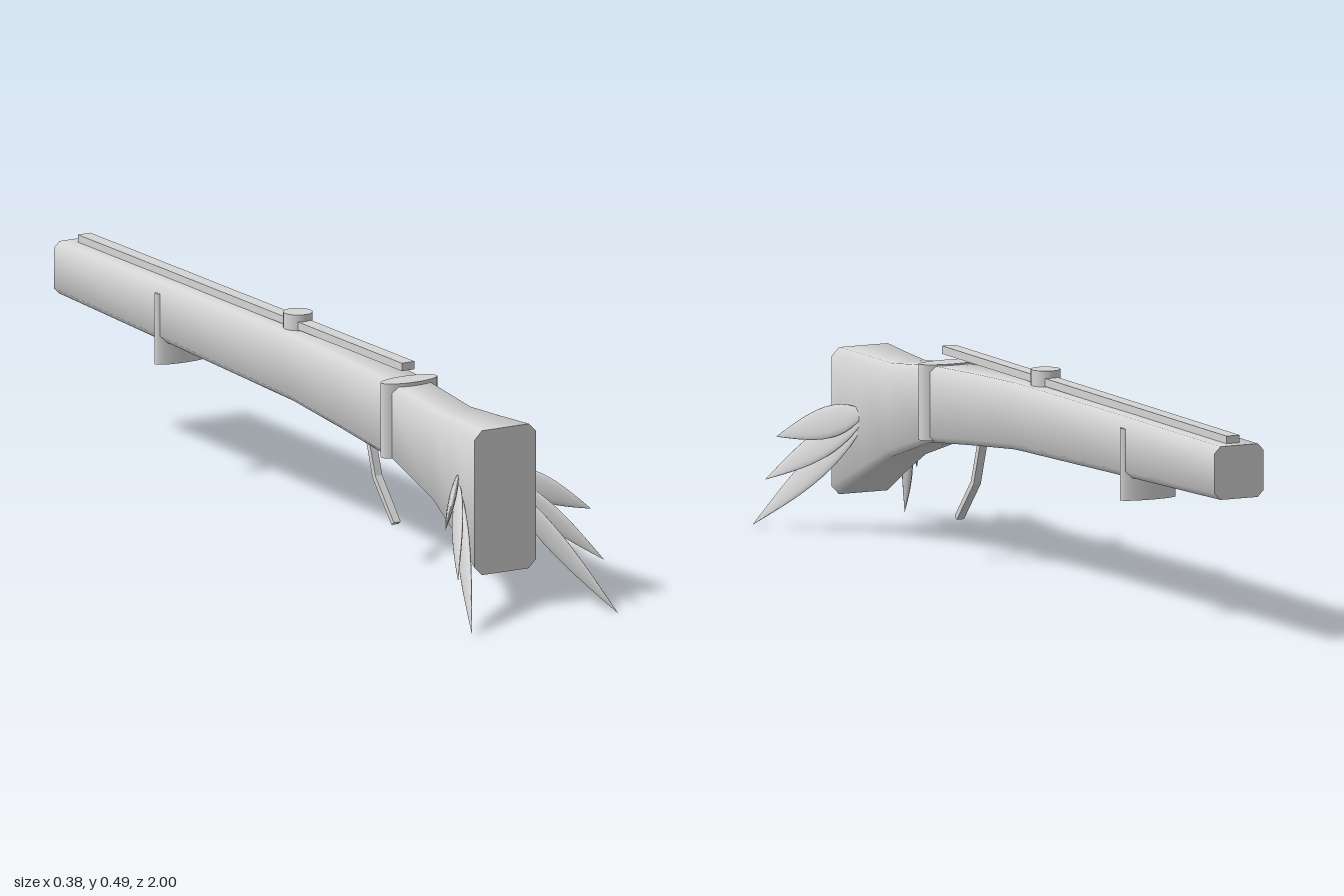
import * as THREE from 'three';

// Eight-sided chamfered outline at one station, counter-clockwise seen from +z
function ring([z, low, high, half]) {
  const c = half * 0.24;
  return [
    [half, low + c], [half, high - c], [half - c, high], [-half + c, high],
    [-half, high - c], [-half, low + c], [-half + c, low], [half - c, low],
  ].map(([x, y]) => new THREE.Vector3(x, y, z));
}

// Skin through the stations (front to back) with evenly rounded sides and flat ends
function loft(stations) {
  const rings = stations.map(ring), n = 8, idx = [];
  const points = rings.flat(), normals = points.map(() => new THREE.Vector3());
  for (let s = 0; s < rings.length - 1; s++)
    for (let i = 0; i < n; i++) {
      const j = (i + 1) % n, a = s * n + i, b = s * n + j;
      idx.push(a, a + n, b, b, a + n, b + n);
      // every side face counts equally, whatever its size
      const face = points[a + n].clone().sub(points[b])
        .cross(points[b + n].clone().sub(points[a])).normalize();
      [a, b, a + n, b + n].forEach(k => normals[k].add(face));
    }
  normals.forEach(v => v.normalize());

  // Flat end caps with their own corners
  const f = points.length;
  [[rings[0], 1], [rings[rings.length - 1], -1]].forEach(([r, facing]) => r.forEach(p => {
    points.push(p);
    normals.push(new THREE.Vector3(0, 0, facing));
  }));
  for (let i = 1; i < n - 1; i++) {
    idx.push(f, f + i, f + i + 1);
    idx.push(f + n, f + n + i + 1, f + n + i);
  }
  const g = new THREE.BufferGeometry().setFromPoints(points);
  g.setAttribute('normal', new THREE.Float32BufferAttribute(normals.flatMap(v => v.toArray()), 3));
  g.setIndex(idx);
  return g;
}

export function createModel() {
  const group = new THREE.Group();
  const grey = new THREE.MeshStandardMaterial({ color: 0xd5d5d5 });
  grey.name = 'light grey';

  const add = (name, geometry, x = 0, y = 0, z = 0) => {
    const m = new THREE.Mesh(geometry, grey);
    m.name = name;
    m.position.set(x, y, z);
    group.add(m);
    return m;
  };

  // Stock and barrel in one body: z, bottom, top, half width
  add('stockAndBarrel', loft([
    [0.83, 0.084, 0.415, 0.08],
    [0.72, 0.143, 0.412, 0.066],
    [0.61, 0.198, 0.409, 0.056],
    [0.42, 0.258, 0.431, 0.055],
    [0.2, 0.282, 0.443, 0.057],
    [0, 0.302, 0.452, 0.061],
    [-0.5, 0.317, 0.453, 0.061],
    [-1, 0.331, 0.451, 0.061],
  ]));

  // Oval bands around the body
  const band = (name, rx, rz, low, high, z) =>
    add(name, new THREE.CylinderGeometry(1, 1, high - low, 32), 0, (low + high) / 2, z).scale.set(rx, 1, rz);
  band('rearBand', 0.0715, 0.03, 0.265, 0.436, 0.418);
  band('frontBand', 0.069, 0.021, 0.268, 0.43, -0.555);

  // Long rail and round sight knob on top
  add('topRail', new THREE.BoxGeometry(0.033, 0.018, 1.385), 0, 0.462, -0.278).rotation.x = -0.004;
  add('sightKnob', new THREE.CylinderGeometry(0.033, 0.033, 0.04, 24), 0, 0.468, -0.057);

  // Bent trigger, drawn in the side plane (shape x = model z)
  const trigger = new THREE.Shape([
    [0.236, 0.3], [0.25, 0.3], [0.289, 0.187], [0.368, 0.097], [0.358, 0.09], [0.276, 0.181],
  ].map(p => new THREE.Vector2(...p)));
  const triggerGeo = new THREE.ExtrudeGeometry(trigger, { depth: 0.018, bevelEnabled: false });
  triggerGeo.translate(0, 0, -0.009);
  triggerGeo.rotateY(-Math.PI / 2);
  add('trigger', triggerGeo);

  // Feathers: pointed, flattened blades, their width kept upright in the side plane
  const feather = (name, root, tip, half) => {
    const dir = tip.clone().sub(root), length = dir.length();
    dir.normalize();
    const across = new THREE.Vector3(1, 0, 0).cross(dir).normalize();
    const normal = across.clone().cross(dir);
    const profile = [];
    for (let i = 0; i <= 12; i++) {
      const t = i / 12;
      profile.push(new THREE.Vector2(half * Math.sin(Math.PI * Math.pow(t, 0.75)), t * length));
    }
    profile[0].x = profile[12].x = 0;
    const g = new THREE.LatheGeometry(profile, 16);
    g.scale(1, 1, 0.22);
    g.applyMatrix4(new THREE.Matrix4().makeBasis(across, dir, normal));
    add(name, g, root.x, root.y, root.z);
  };
  for (const [side, label] of [[1, 'left'], [-1, 'right']]) {
    [
      ['UpperFeather', 0.285, 0.215, 0.885, 0.036],
      ['MiddleFeather', 0.275, 0.11, 0.94, 0.034],
      ['LowerFeather', 0.265, 0, 1, 0.034],
    ].forEach(([name, rootY, tipY, tipZ, half]) => feather(
      label + name,
      new THREE.Vector3(side * 0.055, rootY, 0.715),
      new THREE.Vector3(side * 0.19, tipY, tipZ),
      half));
  }
  return group;
}
